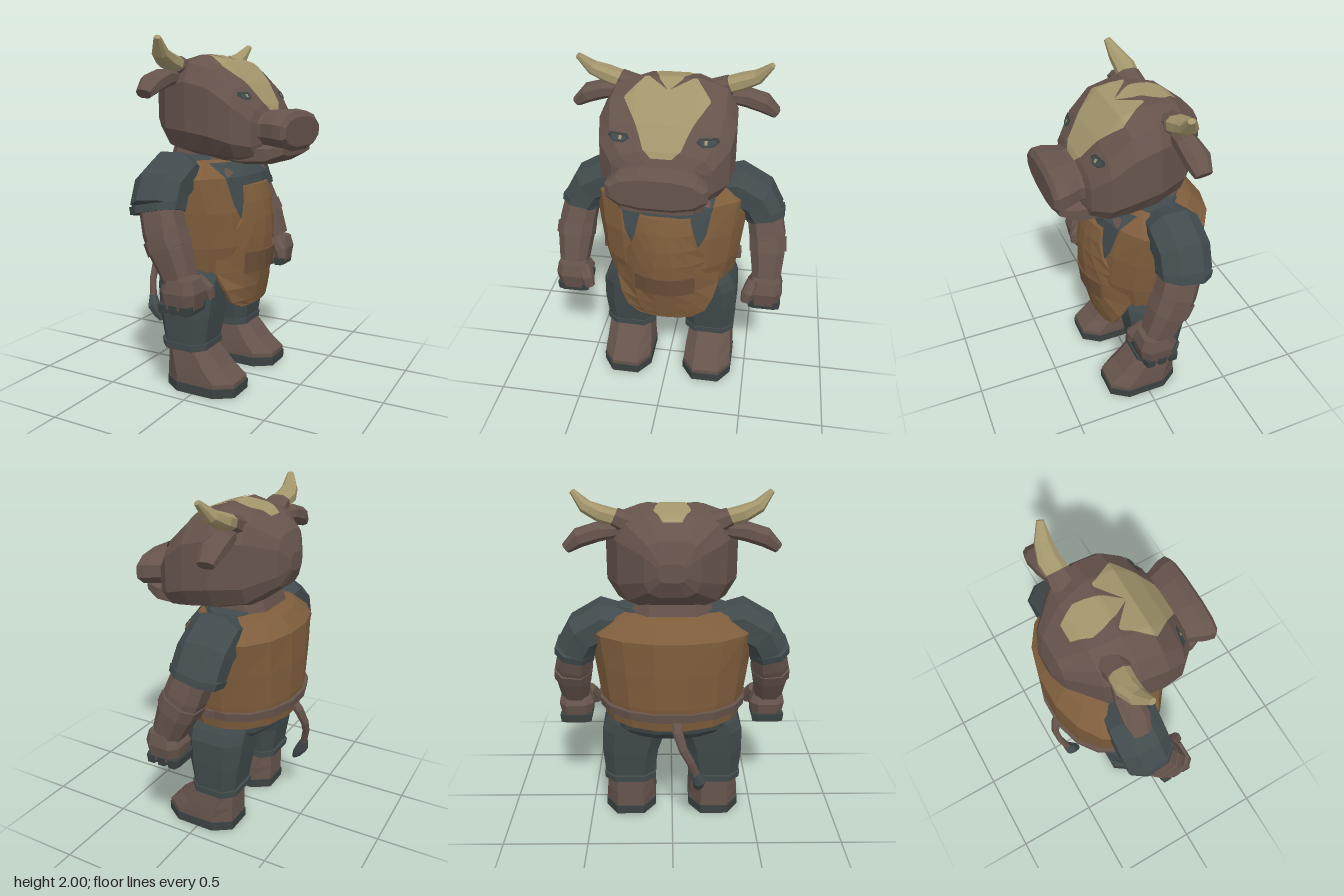
import * as THREE from 'three';

const mat = (name, color) => new THREE.MeshStandardMaterial({ name, color, flatShading: true, side: THREE.DoubleSide });
const hide = mat('brown hide', 0x66544c);
const leather = mat('tan leather', 0x7e5d3c);
const darkLeather = mat('dark leather', 0x6a4e38);
const cloth = mat('slate cloth', 0x414b4d);
const hoof = mat('dark hoof', 0x3a4241);
const horn = mat('cream horn', 0xa3966c);

function finish(name, material, pos, idx) {
  const g = new THREE.BufferGeometry();
  g.setAttribute('position', new THREE.Float32BufferAttribute(pos, 3));
  g.setIndex(idx);
  g.computeVertexNormals();
  const m = new THREE.Mesh(g, material);
  m.name = name;
  return m;
}

// Closed surface through equal rings of points, always wound outwards.
function loft(name, material, rings) {
  const n = rings[0].length, pos = rings.flat(2), idx = [];
  for (let i = 0; i < rings.length - 1; i++)
    for (let j = 0; j < n; j++) {
      const a = i * n + j, b = i * n + (j + 1) % n;
      idx.push(a, b, a + n, b, b + n, a + n);
    }
  const last = (rings.length - 1) * n;
  for (let j = 1; j < n - 1; j++) idx.push(0, j + 1, j, last, last + j, last + j + 1);
  const v = (i) => new THREE.Vector3().fromArray(pos, idx[i] * 3);
  let volume = 0;
  for (let i = 0; i < idx.length; i += 3) volume += v(i).dot(v(i + 1).cross(v(i + 2)));
  if (volume < 0) idx.reverse();
  return finish(name, material, pos, idx);
}

// Unit ring that reaches exactly 1; small p is boxier.
function unitRing(n, p) {
  const k = Math.cos(Math.PI / n) ** p;
  const f = (t) => Math.sign(t) * Math.abs(t) ** p / k;
  return Array.from({ length: n }, (_, i) => {
    const a = (i + 0.5) / n * Math.PI * 2;
    return [f(Math.cos(a)), f(Math.sin(a))];
  });
}

// Stack of sections along x or y: rows of [position, min, max, zMin, zMax].
function stack(name, material, axis, rows, n = 8, p = 0.6) {
  return loft(name, material, rows.map(([t, a, b, c, d]) => unitRing(n, p).map(([u, w]) => {
    const q = (a + b) / 2 + u * (b - a) / 2, z = (c + d) / 2 + w * (d - c) / 2;
    return axis === 'x' ? [t, q, z] : [q, t, z];
  })));
}

// Limb along a path: rows of [x, y, z, radius along x, other radius].
function limb(name, material, rows, n = 8, p = 0.8) {
  const pts = rows.map((r) => new THREE.Vector3(r[0], r[1], r[2]));
  return loft(name, material, rows.map((r, i) => {
    const t = pts[Math.min(i + 1, pts.length - 1)].clone().sub(pts[Math.max(i - 1, 0)]).normalize();
    const a = new THREE.Vector3(1, 0, 0).addScaledVector(t, -t.x).normalize();
    const b = t.clone().cross(a);
    return unitRing(n, p).map(([u, w]) =>
      pts[i].clone().addScaledVector(a, u * r[3]).addScaledVector(b, w * r[4]).toArray());
  }));
}

// Thin paint laid on a surface: rows of [x or y, zInner, zOuter], cast down or backwards.
function paint(name, material, target, dir, rows, side = 1, lift = 0.007, sub = 5, cols = 12) {
  const ray = new THREE.Raycaster(), pos = [], idx = [], d = new THREE.Vector3(...dir);
  const count = (rows.length - 1) * sub;
  for (let i = 0; i <= count; i++) {
    const k = Math.min(Math.floor(i / sub), rows.length - 2), f = i / sub - k;
    const [u, z0, z1] = rows[k].map((v, c) => v + (rows[k + 1][c] - v) * f);
    for (let j = 0; j <= cols; j++) {
      const z = side * (z0 + (z1 - z0) * j / cols);
      ray.set(dir[1] ? new THREE.Vector3(u, 5, z) : new THREE.Vector3(5, u, z), d);
      const hit = ray.intersectObject(target)[0];
      pos.push(...hit.point.addScaledVector(d, -lift).toArray());
      if (i < count && j < cols) {
        const a = i * (cols + 1) + j, b = a + cols + 1;
        idx.push(a, a + 1, b, a + 1, b + 1, b);
      }
    }
  }
  // Every painted face looks against the casting direction.
  const at = (i) => new THREE.Vector3().fromArray(pos, i * 3);
  for (let i = 0; i < idx.length; i += 3) {
    const a = at(idx[i]), nrm = at(idx[i + 1]).sub(a).cross(at(idx[i + 2]).sub(a));
    if (nrm.dot(d) > 0) [idx[i], idx[i + 1]] = [idx[i + 1], idx[i]];
  }
  return finish(name, material, pos, idx);
}

export function createModel() {
  const model = new THREE.Group();
  model.name = 'bullSmith';
  const add = (...m) => model.add(...m);
  const down = [0, -1, 0], back = [-1, 0, 0];

  // Head, muzzle, jaw and neck
  const head = stack('head', hide, 'x', [
    [-0.41, 1.57, 1.67, -0.07, 0.07], [-0.37, 1.48, 1.78, -0.15, 0.15], [-0.23, 1.375, 1.88, -0.295, 0.295],
    [-0.06, 1.345, 1.915, -0.365, 0.365], [0.09, 1.33, 1.87, -0.372, 0.372],
    [0.21, 1.325, 1.75, -0.35, 0.35], [0.295, 1.34, 1.635, -0.27, 0.27], [0.32, 1.38, 1.58, -0.19, 0.19]], 12, 0.58);
  add(head);
  add(stack('muzzle', hide, 'x', [[0.24, 1.41, 1.61, -0.23, 0.23], [0.33, 1.405, 1.61, -0.22, 0.22],
    [0.41, 1.395, 1.615, -0.255, 0.255], [0.465, 1.39, 1.605, -0.265, 0.265], [0.487, 1.415, 1.575, -0.24, 0.24]], 12, 0.82));
  add(stack('jaw', hide, 'x', [[0.08, 1.32, 1.42, -0.19, 0.19], [0.2, 1.31, 1.43, -0.23, 0.23],
    [0.36, 1.32, 1.43, -0.225, 0.225], [0.45, 1.365, 1.43, -0.19, 0.19]]));
  add(stack('neck', hide, 'y', [[1.25, -0.32, 0.12, -0.24, 0.24], [1.42, -0.27, 0.1, -0.21, 0.21]]));

  // Torso, collar, belt and hips
  const torso = stack('vest', leather, 'y', [[0.71, -0.42, 0.2, -0.39, 0.39], [0.85, -0.44, 0.235, -0.415, 0.415],
    [1.05, -0.445, 0.225, -0.44, 0.44], [1.24, -0.44, 0.18, -0.465, 0.465],
    [1.325, -0.36, 0.12, -0.345, 0.345], [1.345, -0.31, 0.06, -0.26, 0.26]], 16, 0.96);
  add(torso);
  add(stack('collar', cloth, 'y', [[1.3, -0.28, 0.08, -0.33, 0.33], [1.36, -0.25, 0.05, -0.3, 0.3]], 12, 0.9));
  add(stack('belt', hide, 'y', [[0.775, -0.45, 0.16, -0.413, 0.413], [0.825, -0.455, 0.16, -0.418, 0.418]], 16, 0.96));
  add(stack('hips', cloth, 'y', [[0.59, -0.29, 0.08, -0.3, 0.3], [0.66, -0.37, 0.11, -0.35, 0.35],
    [0.73, -0.39, 0.14, -0.36, 0.36]], 12, 0.9));
  add(paint('shirtFront', cloth, torso, back,
    [[1.32, -0.28, 0.28], [1.24, -0.265, 0.265], [1.08, -0.235, 0.235], [0.98, -0.18, 0.18]], 1, 0.007, 5, 20));

  // Apron: curved slab with bib and skirt, rows of [y, x, half width, wrap]
  const across = [-1, -0.6, -0.2, 0.2, 0.6, 1];
  const slab = (name, material, rows, t) => loft(name, material, rows.map(([y, x, w, wrap]) => {
    const face = (o) => across.map((f) => [x - o - wrap * (f * w) ** 2, y, f * w]);
    return [...face(0), ...face(t).reverse()];
  }));
  add(slab('apron', leather, [[1.19, 0.238, 0.145, 1.5], [1.1, 0.265, 0.165, 1.5], [1.0, 0.283, 0.195, 1.8],
    [0.9, 0.288, 0.26, 1.8], [0.81, 0.284, 0.315, 1.8], [0.7, 0.272, 0.31, 1.7], [0.6, 0.247, 0.28, 1.2],
    [0.52, 0.228, 0.24, 1], [0.48, 0.218, 0.16, 1]], 0.02));
  add(slab('apronBelt', darkLeather, [[0.81, 0.291, 0.18, 1.8], [0.69, 0.279, 0.18, 1.7]], 0.009));

  // Tail swinging behind one leg
  add(limb('tail', hide, [[-0.4, 0.77, 0.02, 0.025, 0.03], [-0.445, 0.71, 0.03, 0.025, 0.028], [-0.475, 0.62, 0.06, 0.02, 0.024],
    [-0.47, 0.54, 0.1, 0.018, 0.022], [-0.445, 0.44, 0.135, 0.018, 0.022]]));
  add(limb('tailTuft', cloth, [[-0.45, 0.45, 0.13, 0.02, 0.022], [-0.43, 0.39, 0.15, 0.035, 0.036],
    [-0.4, 0.34, 0.15, 0.028, 0.028], [-0.375, 0.3, 0.15, 0.01, 0.01]]));

  for (const s of [1, -1]) {
    const part = (name, m, rows, n, p) => add(limb(name, m, rows.map(([x, y, z, a, b]) => [x, y, s * z, a, b]), n, p));
    const block = (name, m, rows, n, p) =>
      add(stack(name, m, 'y', rows.map(([t, a, b, c, d]) => s > 0 ? [t, a, b, c, d] : [t, a, b, -d, -c]), n, p));

    // Horns and ears
    part('hornBase', hide, [[-0.15, 1.81, 0.2, 0.075, 0.06], [-0.15, 1.86, 0.31, 0.065, 0.046]]);
    part('horn', horn, [[-0.15, 1.85, 0.28, 0.058, 0.042], [-0.16, 1.88, 0.38, 0.058, 0.042],
      [-0.145, 1.915, 0.46, 0.044, 0.034], [-0.115, 1.99, 0.53, 0.018, 0.014]]);
    part('ear', hide, [[-0.16, 1.79, 0.3, 0.04, 0.035], [-0.17, 1.785, 0.4, 0.06, 0.048],
      [-0.175, 1.755, 0.5, 0.068, 0.048], [-0.18, 1.7, 0.57, 0.045, 0.028]]);

    // Face markings and eyes
    add(paint('blaze', horn, head, down, [[-0.05, 0.12, 0.14], [0, 0.065, 0.165], [0.06, 0, 0.205], [0.1, 0, 0.23],
      [0.17, 0, 0.18], [0.24, 0, 0.13], [0.29, 0, 0.1], [0.312, 0, 0.05]], s));
    add(paint('crownPatch', horn, head, down, [[-0.275, 0, 0.05], [-0.18, 0, 0.1], [-0.12, 0, 0.09],
      [-0.03, 0, 0.06], [0.06, 0, 0.002]], s));
    add(paint('eyeRim', hoof, head, back, [[1.668, 0.21, 0.26], [1.69, 0.175, 0.295], [1.71, 0.19, 0.285]], s));
    add(paint('eye', cloth, head, back, [[1.675, 0.215, 0.255], [1.69, 0.19, 0.28], [1.7, 0.2, 0.265]], s, 0.009));
    add(paint('pupil', horn, head, back, [[1.682, 0.217, 0.233], [1.7, 0.217, 0.233]], s, 0.012));
    add(paint('collarClasp', hide, torso, back, [[1.29, 0.21, 0.23], [1.265, 0.18, 0.25], [1.245, 0.235, 0.25]], s, 0.009));

    // Sleeve, forearm, hand
    part('sleeve', cloth, [[-0.125, 1.25, 0.28, 0.125, 0.1], [-0.12, 1.265, 0.38, 0.145, 0.125],
      [-0.125, 1.2, 0.5, 0.145, 0.118], [-0.115, 1.1, 0.555, 0.143, 0.112]], 8, 0.85);
    part('sleeveCuff', cloth, [[-0.118, 1.115, 0.552, 0.147, 0.116], [-0.11, 1.075, 0.56, 0.143, 0.114]], 8, 0.85);
    part('forearm', hide, [[-0.095, 1.1, 0.555, 0.105, 0.1], [-0.055, 0.98, 0.58, 0.108, 0.103],
      [-0.01, 0.88, 0.59, 0.105, 0.1], [0.05, 0.74, 0.595, 0.085, 0.083]], 8, 0.75);
    part('armBand', hide, [[-0.045, 0.955, 0.587, 0.113, 0.108], [-0.015, 0.89, 0.592, 0.112, 0.108]], 8, 0.75);
    block('hand', hide, [[0.59, -0.03, 0.155, 0.5, 0.68], [0.68, -0.045, 0.17, 0.485, 0.695], [0.75, -0.01, 0.15, 0.515, 0.68]]);
    for (let i = 0; i < 3; i++)
      block('fingertip', hoof, [[0.565, -0.045 + i * 0.067, 0.017 + i * 0.067, 0.5, 0.685],
        [0.615, -0.05 + i * 0.067, 0.022 + i * 0.067, 0.495, 0.69]], 8, 0.5);
    part('thumb', hide, [[0.1, 0.73, 0.52, 0.035, 0.035], [0.15, 0.67, 0.49, 0.04, 0.035], [0.16, 0.62, 0.48, 0.028, 0.028]]);

    // Trouser leg, cuff, foot, sole
    block('trouserLeg', cloth, [[0.26, -0.215, 0.05, 0.11, 0.405], [0.45, -0.245, 0.08, 0.085, 0.42],
      [0.6, -0.265, 0.1, 0.035, 0.415], [0.67, -0.27, 0.105, 0.02, 0.39], [0.74, -0.27, 0.1, 0.02, 0.35]]);
    block('trouserCuff', cloth, [[0.25, -0.23, 0.06, 0.1, 0.412], [0.29, -0.235, 0.062, 0.1, 0.415]]);
    block('foot', hide, [[0.045, -0.2, 0.235, 0.11, 0.41], [0.08, -0.2, 0.235, 0.11, 0.41],
      [0.15, -0.2, 0.15, 0.115, 0.405], [0.27, -0.2, 0.045, 0.13, 0.395]], 8, 0.7);
    block('sole', hoof, [[0, -0.205, 0.24, 0.105, 0.415], [0.055, -0.205, 0.242, 0.105, 0.415]], 8, 0.7);

    // Belt end at the side
    block('beltEnd', hide, [[0.775, -0.13, -0.06, 0.39, 0.43], [0.825, -0.13, -0.06, 0.39, 0.43]], 8, 0.3);
  }
  return model;
}
